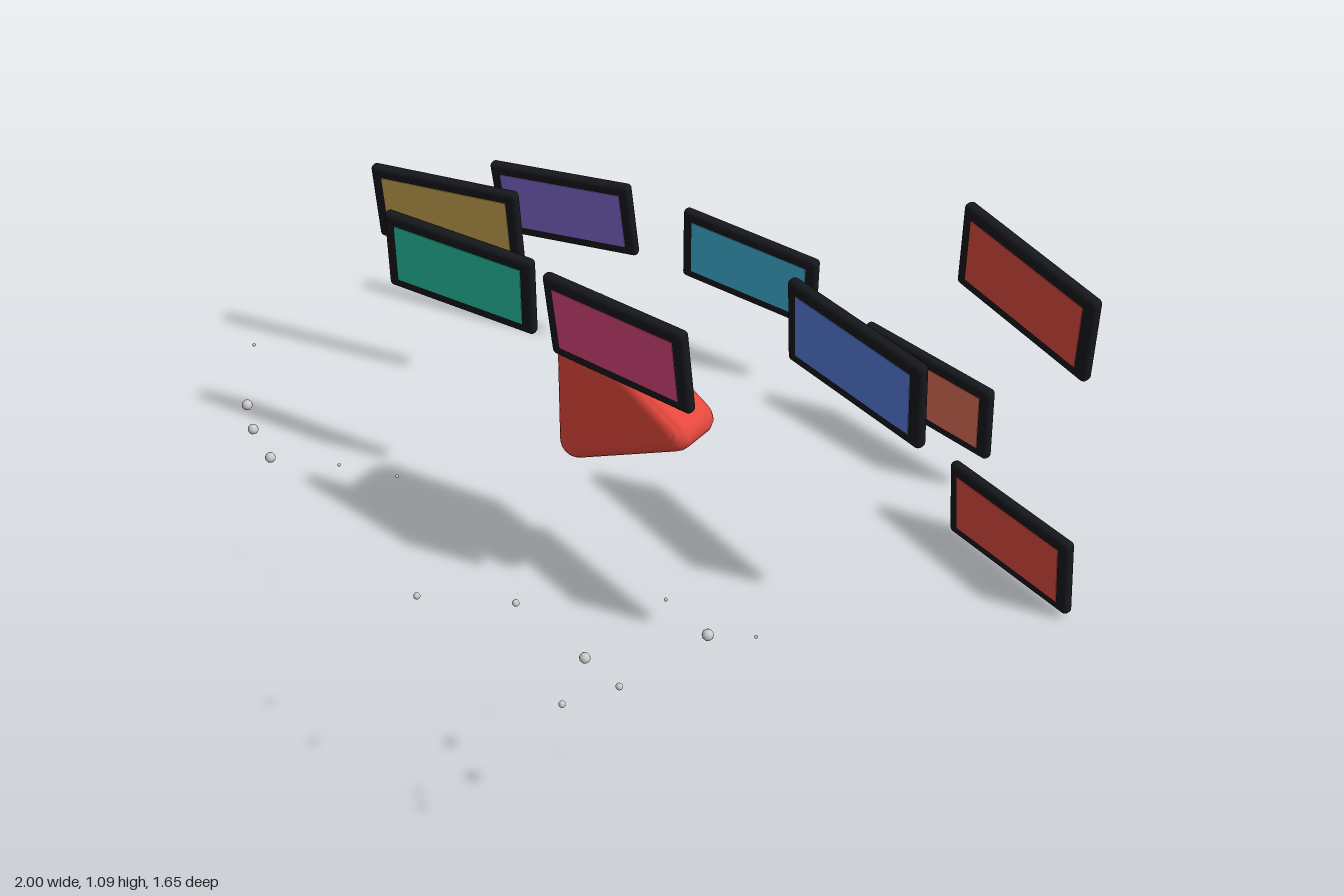
import * as THREE from 'three';
import { toCreasedNormals } from 'three/addons/utils/BufferGeometryUtils.js';
import { RoundedBoxGeometry } from 'three/addons/geometries/RoundedBoxGeometry.js';

const paint = (color) => new THREE.MeshStandardMaterial({ color });

function addMesh(parent, name, geometry, material) {
  const mesh = new THREE.Mesh(geometry, material);
  mesh.name = name;
  parent.add(mesh);
  return mesh;
}

// Rounded triangular slab pointing to +x
function triangleGeometry() {
  const corners = [[-0.105, -0.18], [0.208, 0], [-0.105, 0.18]].map(([x, y]) => new THREE.Vector2(x, y));
  const toward = (a, b, d) => a.clone().add(b.clone().sub(a).setLength(d));
  const shape = new THREE.Shape();
  corners.forEach((c, i) => {
    const start = toward(c, corners[(i + 2) % 3], 0.02);
    const end = toward(c, corners[(i + 1) % 3], 0.02);
    if (i === 0) shape.moveTo(start.x, start.y);
    else shape.lineTo(start.x, start.y);
    shape.quadraticCurveTo(c.x, c.y, end.x, end.y);
  });
  shape.closePath();
  const geometry = new THREE.ExtrudeGeometry(shape, {
    depth: 0.07, bevelThickness: 0.035, bevelSize: 0.035, bevelSegments: 6, curveSegments: 6,
  });
  geometry.translate(0, 0, -0.035);
  return toCreasedNormals(geometry, 0.6);
}

export function createModel() {
  const model = new THREE.Group();
  model.name = 'floatingPanels';

  // Central triangle
  const triangle = addMesh(model, 'triangle', triangleGeometry(), paint(0xe5483c));
  triangle.position.set(0, 0.555, 0.05);

  // Framed panels in a ring: x, y, z, roll, screen colour
  const panels = [
    [-0.805, 0.555, -0.255, 0, 0xc9a653],
    [-0.7, 0.448, -0.585, 0.055, 0x8068cc],
    [-0.245, 0.343, -0.793, -0.055, 0x3fb3d6],
    [0.335, 0.235, -0.765, 0, 0xde6e55],
    [0.735, 0.13, -0.525, 0.055, 0xdb4a3f],
    [0.8, 0.982, -0.33, -0.055, 0xdb4a3f],
    [0.583, 0.873, -0.022, 0, 0x567dda],
    [0.06, 0.768, 0.125, 0.055, 0xd84679],
    [-0.497, 0.663, 0.03, -0.055, 0x27c2a2],
  ];
  const frameGeometry = new RoundedBoxGeometry(0.405, 0.222, 0.028, 3, 0.012);
  const screenGeometry = new THREE.BoxGeometry(0.345, 0.163, 0.004);
  const frameMaterial = paint(0x17181d);
  for (const [x, y, z, roll, color] of panels) {
    const panel = new THREE.Group();
    panel.name = 'panel';
    addMesh(panel, 'frame', frameGeometry, frameMaterial);
    addMesh(panel, 'screen', screenGeometry, paint(color)).position.z = 0.0135;
    panel.position.set(x, y, z);
    panel.rotation.set(0.08, -0.36 * x, roll);
    model.add(panel);
  }

  // Small floating beads in three layers: depth, radius, positions
  const layers = [
    [0.513, 0.004, [[-0.7, 0.632], [-0.453, 0.404], [-0.265, 0.468], [0.5, 0.535], [0.73, 0.567]]],
    [0.662, 0.012, [[-0.57, 0.612], [-0.56, 0.548], [-0.513, 0.49], [0.405, 0.424], [0.719, 0.676]]],
    [0.81, 0.0075, [[0.076, 0.514], [0.354, 0.655], [0.469, 0.446], [0.618, 0.588]]],
  ];
  const beadMaterial = paint(0xcccccc);
  for (const [z, radius, spots] of layers) {
    const beadGeometry = new THREE.SphereGeometry(radius, 12, 8);
    for (const [x, y] of spots) addMesh(model, 'bead', beadGeometry, beadMaterial).position.set(x, y, z);
  }
  return model;
}
